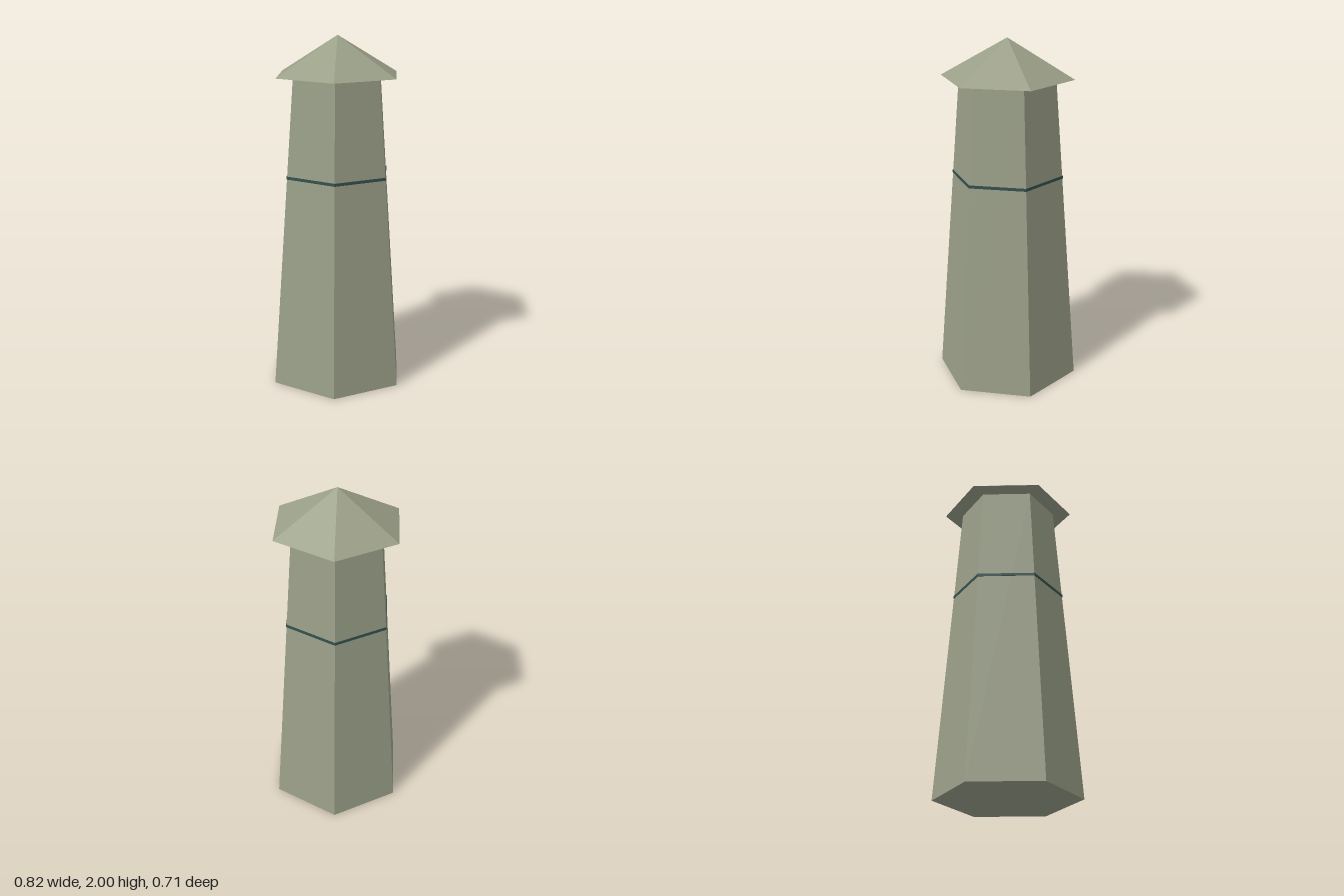
import * as THREE from 'three';

export function createModel() {
  const model = new THREE.Group();
  const stone = new THREE.MeshStandardMaterial({ color: 0x9a9f88, flatShading: true });
  stone.name = 'sageStone';
  const trim = new THREE.MeshStandardMaterial({ color: 0x34504f, flatShading: true });
  trim.name = 'darkTealTrim';

  // six-sided tapered prism with corners on the x axis
  function hexPart(name, topRadius, bottomRadius, y0, y1, material) {
    const geometry = new THREE.CylinderGeometry(topRadius, bottomRadius, y1 - y0, 6, 1, false, Math.PI / 6);
    const mesh = new THREE.Mesh(geometry, material);
    mesh.name = name;
    mesh.position.y = (y0 + y1) / 2;
    model.add(mesh);
  }

  hexPart('towerBody', 0.275, 0.41, 0, 1.78, stone);
  hexPart('bandTrim', 0.321, 0.321, 1.213, 1.229, trim);
  hexPart('roof', 0, 0.379, 1.78, 2, stone);

  return model;
}
